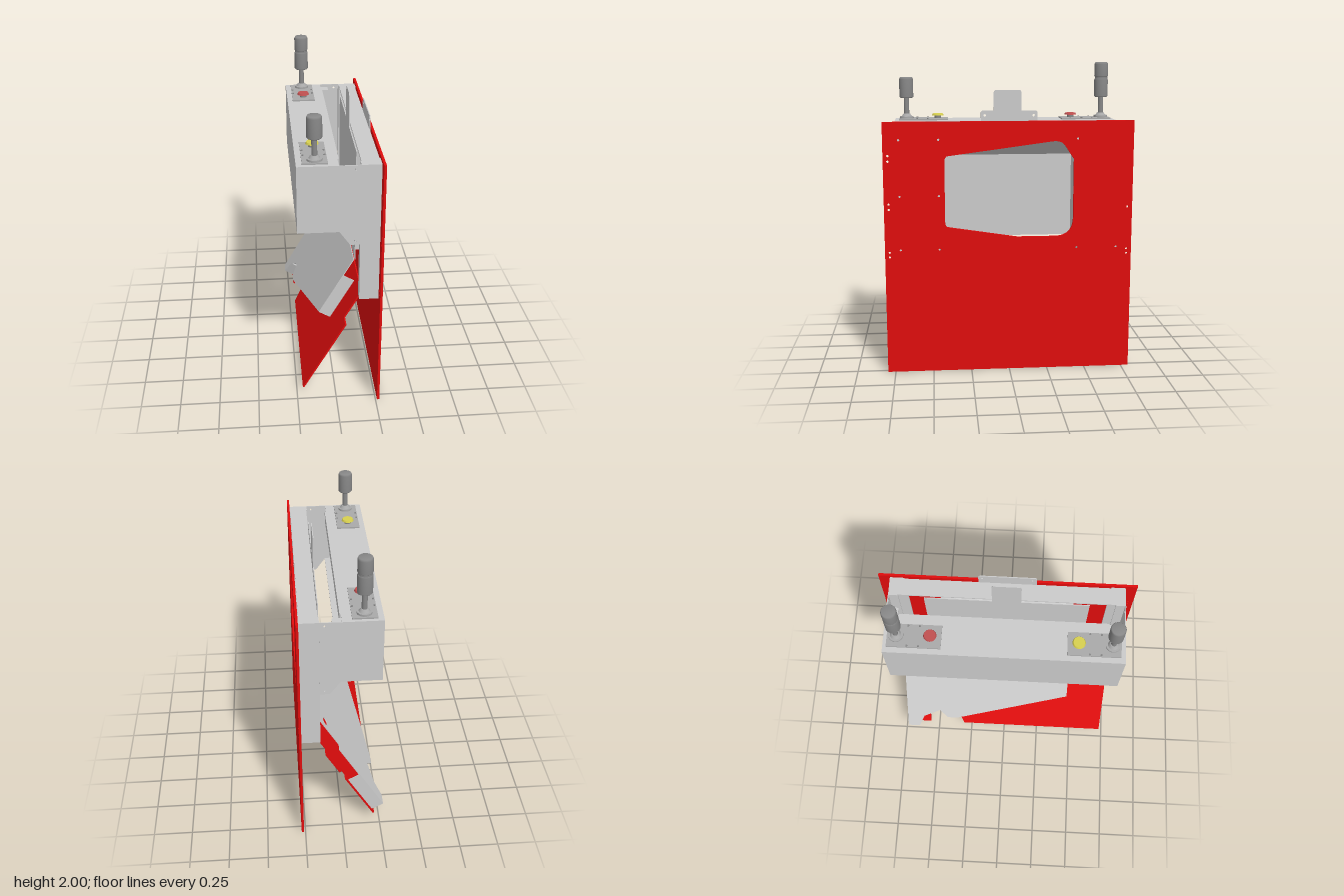
import * as THREE from 'three';

const paint = (color) => new THREE.MeshStandardMaterial({ color, side: THREE.DoubleSide });
const GREY = paint(0xcccccc), RED = paint(0xe00d0d), DARK = paint(0x888888), MID = paint(0xaaaaaa);
const BUTTON_RED = paint(0xc05050), BUTTON_YELLOW = paint(0xd8d050);

function add(parent, name, geometry, material, x = 0, y = 0, z = 0) {
  const mesh = new THREE.Mesh(geometry, material);
  mesh.name = name;
  mesh.position.set(x, y, z);
  parent.add(mesh);
  return mesh;
}

// Box given by its limits on each axis
function block(parent, name, [x0, x1], [y0, y1], [z0, z1], material = GREY) {
  return add(parent, name, new THREE.BoxGeometry(x1 - x0, y1 - y0, z1 - z0), material,
    (x0 + x1) / 2, (y0 + y1) / 2, (z0 + z1) / 2);
}

const outline = (points) => new THREE.Shape(points.map(([a, b]) => new THREE.Vector2(a, b)));
const roundHole = (a, b, r) => new THREE.Path().absarc(a, b, r, 0, Math.PI * 2, true);

// Sheet drawn in (z, y), its outer face at x and its thickness toward -x
function sheet(parent, name, shape, x, depth, material = GREY) {
  const geometry = new THREE.ExtrudeGeometry(shape, { depth, bevelEnabled: false, curveSegments: 10 });
  const mesh = add(parent, name, geometry, material, x);
  mesh.rotation.y = -Math.PI / 2;
  return mesh;
}

function frontPanel(root) {
  const shape = outline([[-0.8, 0], [0.8, 0], [0.8, 1.645], [-0.8, 1.645]]);
  // window with a sloping top and two rounded corners
  const win = new THREE.Path();
  win.moveTo(0.41, 0.98);
  win.lineTo(0.4, 0.967);
  win.lineTo(-0.05, 0.897);
  win.lineTo(-0.3, 0.897);
  win.quadraticCurveTo(-0.415, 0.9, -0.415, 1.02);
  win.lineTo(-0.415, 1.4);
  win.lineTo(-0.355, 1.49);
  win.quadraticCurveTo(-0.33, 1.52, -0.28, 1.515);
  win.lineTo(0.4, 1.425);
  win.lineTo(0.413, 1.405);
  win.lineTo(0.413, 1.0);
  shape.holes.push(win);
  // screw holes
  const screws = [[0.77, 1.43], [0.77, 1.395], [0.77, 1.12], [0.77, 1.085], [0.77, 0.805], [0.77, 0.775],
    [0.7, 1.53], [0.45, 1.53], [0.7, 1.17], [0.45, 1.17], [0.7, 0.82], [0.45, 0.82],
    [-0.44, 1.53], [-0.44, 0.82], [-0.7, 0.82], [-0.77, 1.085], [-0.77, 0.805], [-0.77, 0.775]];
  for (const [z, y] of screws) shape.holes.push(roundHole(z, y, 0.008));
  sheet(root, 'frontPanel', shape, 0.275, 0.015, RED);
}

function frame(root) {
  const g = new THREE.Group();
  g.name = 'mountingFrame';
  block(g, 'frameTop', [0.145, 0.255], [1.615, 1.625], [-0.73, 0.73]);
  for (const s of [-1, 1]) {
    const span = (a, b) => (s > 0 ? [a, b] : [-b, -a]);
    block(g, 'framePost', [0.145, 0.25], [0.725, 1.625], span(0.72, 0.73));
    block(g, 'framePostFlange', [0.25, 0.26], [0.725, 1.625], span(0.64, 0.73));
    block(g, 'framePostLip', [0.14, 0.148], [0.725, 1.625], span(0.67, 0.73));
    block(g, 'chuteWall', [0.14, 0.26], [0.9, 1.43], span(0.415, 0.42));
  }
  // sloping cover above the window
  const cover = add(g, 'chuteCover', new THREE.BoxGeometry(0.155, 0.006, 0.84), GREY, 0.2, 1.472, 0);
  cover.rotation.z = Math.atan2(0.1, 0.115);
  // gate sheet with its pull tab
  sheet(g, 'gate', outline([[-0.51, 0.88], [0.51, 0.88], [0.51, 1.615], [0.09, 1.615], [0.09, 1.82],
    [0.08, 1.832], [-0.08, 1.832], [-0.09, 1.82], [-0.09, 1.615], [-0.51, 1.615]]), 0.14, 0.006);
  const plate = outline([[-0.18, 1.6], [0.18, 1.6], [0.18, 1.7], [0.17, 1.71], [-0.17, 1.71], [-0.18, 1.7]]);
  for (const z of [-0.155, 0.155]) plate.holes.push(roundHole(z, 1.68, 0.008));
  sheet(g, 'topBracket', plate, 0.26, 0.006);
  root.add(g);
}

function controlBox(root) {
  const g = new THREE.Group();
  g.name = 'controlBox';
  block(g, 'boxTop', [-0.235, 0.01], [1.617, 1.625], [-0.73, 0.73]);
  block(g, 'boxFace', [-0.235, -0.227], [1.2, 1.625], [-0.73, 0.73]);
  block(g, 'boxBottom', [-0.235, 0.015], [1.198, 1.206], [-0.73, 0.73]);
  block(g, 'boxTopLip', [0.01, 0.018], [1.56, 1.625], [-0.65, 0.63]);
  block(g, 'boxCornerTab', [-0.02, 0.065], [1.6, 1.606], [-0.73, -0.66]);
  // end plates reaching back to the frame
  const end = outline([[-0.235, 1.2], [0.015, 1.2], [0.08, 1.11], [0.14, 1.11], [0.14, 1.625], [-0.235, 1.625]]);
  for (const [x, y] of [[0.11, 1.135], [0.11, 1.6]]) end.holes.push(roundHole(x, y, 0.007));
  const endGeometry = new THREE.ExtrudeGeometry(end, { depth: 0.006, bevelEnabled: false });
  add(g, 'boxEnd', endGeometry, GREY, 0, 0, 0.726);
  add(g, 'boxEnd', endGeometry, GREY, 0, 0, -0.732);
  root.add(g);
}

// Switch plate with a push button and a signal lamp
function signalUnit(root, s, lampTop, buttonMaterial) {
  const g = new THREE.Group();
  g.name = 'signalUnit';
  const x = -0.125, z = s * 0.655;
  const disc = (name, r, y0, y1, m, pz = z, r2 = r) =>
    add(g, name, new THREE.CylinderGeometry(r2, r, y1 - y0, 28), m, x, (y0 + y1) / 2, pz);
  block(g, 'switchPlate', [-0.2, -0.05], [1.625, 1.634], s > 0 ? [0.38, 0.705] : [-0.71, -0.38], MID);
  for (const px of [-0.19, -0.06]) for (const pz of [0.515, 0.585])
    add(g, 'plateScrew', new THREE.CylinderGeometry(0.006, 0.006, 0.006, 10), DARK, px, 1.636, s * pz);
  disc('lampBase', 0.046, 1.634, 1.647, MID);
  disc('lampCollar', 0.034, 1.647, 1.665, MID, z, 0.022);
  disc('lampStem', 0.017, 1.66, 1.77, DARK);
  const parts = lampTop > 1.95 ? [[1.77, 1.897], [1.903, lampTop]] : [[1.77, lampTop]];
  for (const [a, b] of parts) {
    const h = b - a;
    const profile = [[0, 0], [0.041, 0], [0.046, 0.006], [0.046, h - 0.012], [0.04, h], [0, h]];
    add(g, 'lampBody', new THREE.LatheGeometry(profile.map(([r, y]) => new THREE.Vector2(r, y)), 28), DARK, x, a, z);
  }
  if (parts.length > 1) disc('lampJoint', 0.042, 1.89, 1.91, DARK);
  disc('buttonStem', 0.022, 1.634, 1.655, DARK, s * 0.448);
  disc('buttonCap', 0.04, 1.652, 1.664, buttonMaterial, s * 0.448, 0.035);
  root.add(g);
}

// Hinged flap: red sheet with a grey guard in front, drawn as (z, distance down the slope)
function flap(root) {
  const g = new THREE.Group();
  g.name = 'tiltedFlap';
  g.position.set(0.165, 0.72, 0);
  g.rotation.z = -Math.PI / 6;
  const down = (points) => outline(points.map(([z, u]) => [z, -u]));
  sheet(g, 'flapSheet', down([[-0.67, 0], [-0.67, 0.12], [-0.73, 0.12], [-0.73, 0.3], [-0.69, 0.3], [-0.69, 0.37],
    [-0.73, 0.37], [-0.73, 0.75], [-0.56, 0.75], [-0.56, 0.6], [-0.36, 0.6], [-0.305, 0.75], [0.725, 0.75],
    [0.725, 0.21], [0.64, 0.21], [0.64, 0]]), 0.005, 0.01, RED);
  const guard = down([[-0.67, -0.095], [-0.67, 0.14], [-0.72, 0.14], [-0.72, 0.72], [-0.64, 0.72], [-0.6, 0.62],
    [-0.48, 0.55], [-0.42, 0.62], [-0.35, 0.62], [0.45, 0.35], [0.45, -0.095]]);
  guard.holes.push(roundHole(-0.61, 0.03, 0.028));
  sheet(g, 'flapGuard', guard, -0.085, 0.006);
  // guard side walls along the straight and the diagonal edges
  const wall = (name, z0, u0, z1, u1) => {
    const m = add(g, name, new THREE.BoxGeometry(0.085, Math.hypot(z1 - z0, u1 - u0), 0.006), GREY,
      -0.045, -(u0 + u1) / 2, (z0 + z1) / 2);
    m.rotation.x = Math.atan2(z1 - z0, u1 - u0) * -1;
  };
  wall('guardSide', 0.447, 0.04, 0.447, 0.35);
  wall('guardDiagonal', 0.447, 0.35, -0.35, 0.62);
  wall('guardTip', -0.6, 0.62, -0.64, 0.72);
  wall('guardEdge', -0.717, 0.4, -0.717, 0.72);
  root.add(g);
}

export function createModel() {
  const root = new THREE.Group();
  root.name = 'controlPanelAssembly';
  frontPanel(root);
  frame(root);
  controlBox(root);
  signalUnit(root, -1, 2.0, BUTTON_RED);
  signalUnit(root, 1, 1.905, BUTTON_YELLOW);
  flap(root);
  return root;
}
